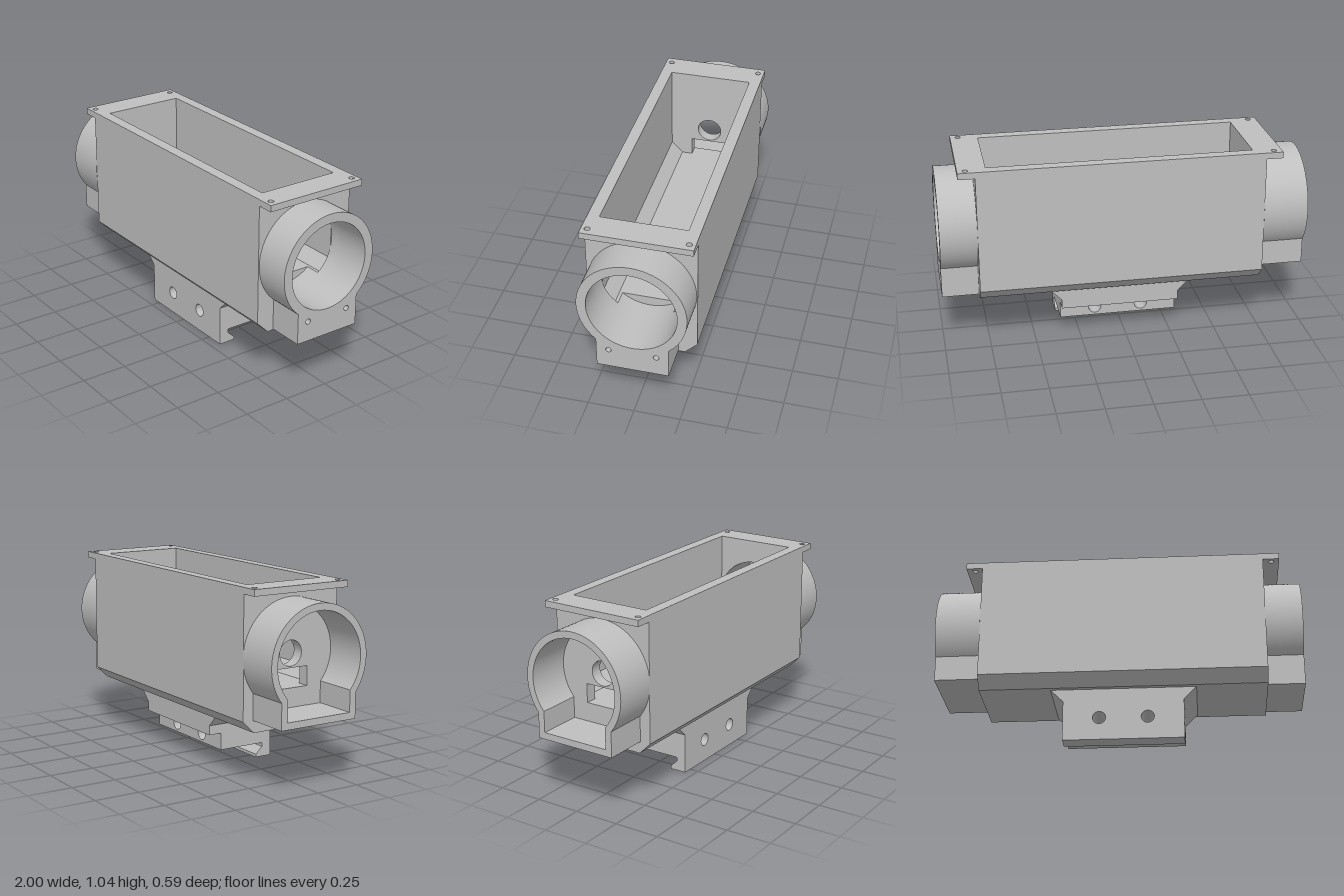
import * as THREE from 'three';
import { toCreasedNormals } from 'three/addons/utils/BufferGeometryUtils.js';

const AXIS_Y = 0.677; // height of the tube axis

export function createModel() {
  const group = new THREE.Group();
  const grey = new THREE.MeshStandardMaterial({ color: 0xbfbfbf });
  grey.name = 'grey';

  const extrude = (shape, depth) =>
    new THREE.ExtrudeGeometry(shape, { depth, bevelEnabled: false, curveSegments: 48 });
  const add = (name, geometry) => {
    const mesh = new THREE.Mesh(toCreasedNormals(geometry, 0.5), grey);
    mesh.name = name;
    group.add(mesh);
  };
  // extrusions along x (shape is -z, y), along y (shape is x, -z) and along z (shape is x, y)
  const alongX = (name, shape, x0, x1) =>
    add(name, extrude(shape, x1 - x0).rotateY(Math.PI / 2).translate(x0, 0, 0));
  const alongY = (name, shape, y0, y1) =>
    add(name, extrude(shape, y1 - y0).rotateX(-Math.PI / 2).translate(0, y0, 0));
  const alongZ = (name, shape, z0, z1) =>
    add(name, extrude(shape, z1 - z0).translate(0, 0, z0));

  const poly = (points) => new THREE.Shape(points.map(([x, y]) => new THREE.Vector2(x, y)));
  const rect = (x0, y0, x1, y1) => poly([[x0, y0], [x1, y0], [x1, y1], [x0, y1]]);
  const disc = (x, y, r) => new THREE.Shape().absarc(x, y, r, 0, Math.PI * 2);

  // circle standing on a rectangular foot
  const keyhole = (r, half, bottom) => {
    const t = Math.asin(half / r);
    const shape = new THREE.Shape();
    shape.absarc(0, AXIS_Y, r, -Math.PI / 2 + t, Math.PI * 1.5 - t, false);
    shape.lineTo(-half, bottom);
    shape.lineTo(half, bottom);
    shape.closePath();
    return shape;
  };

  // housing sections
  const outer = [[-0.29, 1.005], [-0.29, 0.355], [-0.225, 0.29], [0.225, 0.29], [0.29, 0.355], [0.29, 1.005]];
  const floorY = 0.495;
  const bore = 0.235;
  const trough = (grooved) => {
    const shape = new THREE.Shape();
    outer.forEach(([x, y], i) => (i ? shape.lineTo(x, y) : shape.moveTo(x, y)));
    shape.lineTo(0.228, 1.005);
    shape.lineTo(0.228, 0.558);
    shape.lineTo(0.165, floorY);
    if (grooved) {
      const a = Math.asin((AXIS_Y - floorY) / bore);
      shape.absarc(0, AXIS_Y, bore, -a, -Math.PI + a, true);
    }
    shape.lineTo(-0.165, floorY);
    shape.lineTo(-0.228, 0.558);
    shape.lineTo(-0.228, 1.005);
    shape.closePath();
    return shape;
  };
  const closedEnd = poly(outer);
  closedEnd.holes.push(disc(0, AXIS_Y, 0.068), rect(-0.105, floorY, 0.105, 0.6));
  const boredEnd = poly(outer);
  boredEnd.holes.push(disc(0, AXIS_Y, bore));
  alongX('rightEndWall', closedEnd, -0.755, -0.69);
  alongX('housing', trough(false), -0.69, 0.655);
  alongX('housingGroove', trough(true), 0.655, 0.74);
  alongX('leftEndWall', boredEnd, 0.74, 0.8);

  // top flange with the opening and four screw holes
  const flange = rect(-0.845, -0.29, 0.89, 0.29);
  flange.holes.push(rect(-0.69, -0.228, 0.74, 0.228));
  for (const x of [-0.8, 0.848])
    for (const z of [-0.257, 0.257]) flange.holes.push(disc(x, z, 0.015));
  alongY('topFlange', flange, 1.005, 1.04);

  // thin-walled socket on one end
  const socket = keyhole(0.293, 0.23, 0.355);
  socket.holes.push(keyhole(0.256, 0.193, 0.392));
  alongX('socket', socket, -1, -0.755);

  // round tube with a drilled foot on the other end
  const tube = keyhole(0.285, 0.19, 0.295);
  tube.holes.push(disc(0, AXIS_Y, bore));
  for (const z of [-0.125, 0.125]) tube.holes.push(disc(z, 0.405, 0.015));
  alongX('tube', tube, 0.8, 1);

  // mounting clamp, flared where it meets the housing
  const clamp = (bottom, drilled) => {
    const shape = poly([[-0.3, bottom], [0.35, bottom], [0.35, 0.222], [0.418, 0.29], [-0.368, 0.29], [-0.3, 0.222]]);
    if (drilled) for (const x of [-0.105, 0.155]) shape.holes.push(disc(x, 0.125, 0.035));
    return shape;
  };
  alongZ('clampLedge', clamp(0.17, false), -0.2, -0.125);
  alongZ('clampBlock', clamp(0.077, true), -0.125, 0.145);
  alongZ('clampJaw', clamp(0, true), 0.145, 0.2);
  alongX('clampLip', poly([[-0.145, 0], [-0.105, 0], [-0.105, 0.017], [-0.145, 0.055]]), -0.3, 0.35);

  return group;
}
